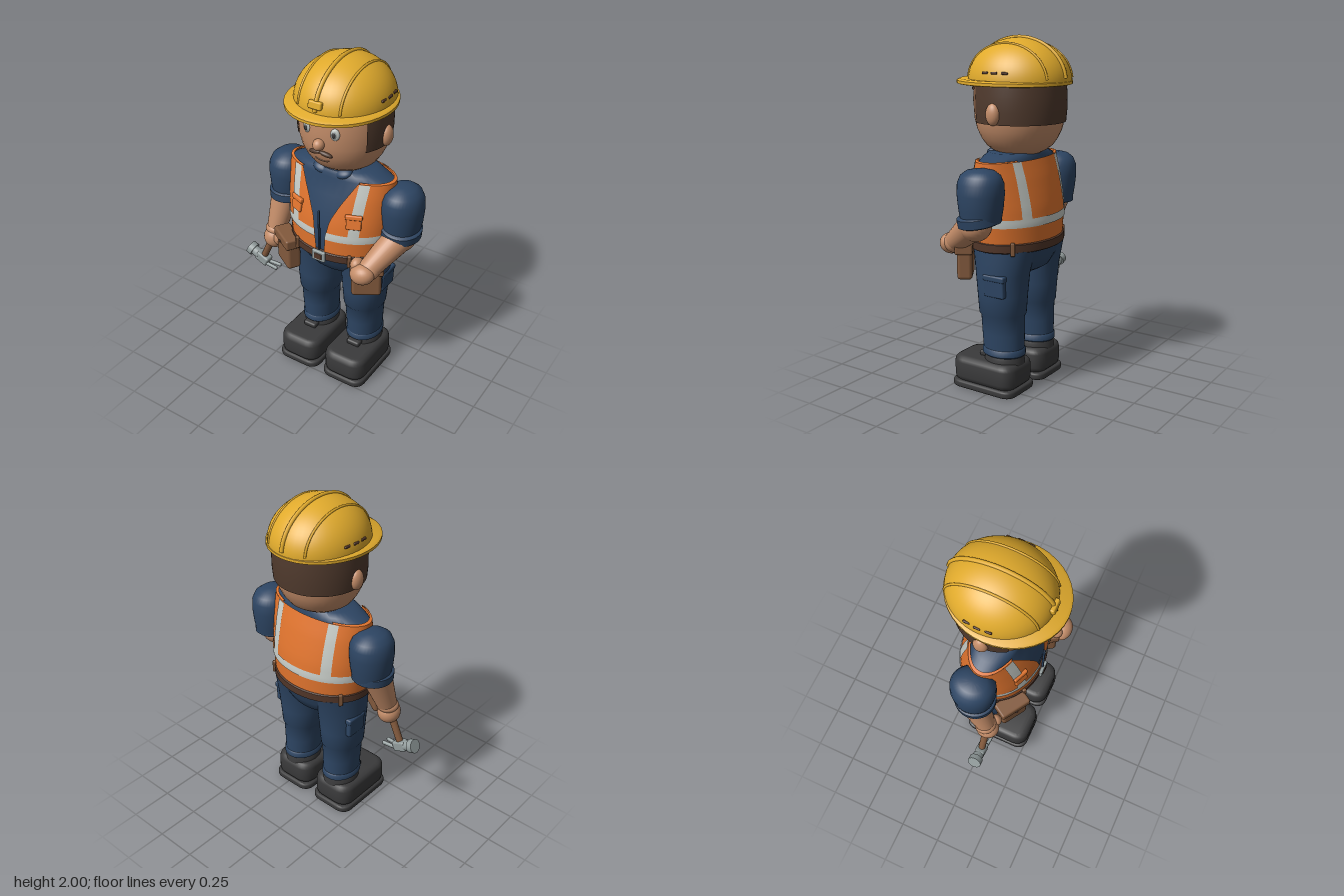
import * as THREE from 'three';
import { mergeVertices, toCreasedNormals } from 'three/addons/utils/BufferGeometryUtils.js';
import { RoundedBoxGeometry } from 'three/addons/geometries/RoundedBoxGeometry.js';

const colour = (name, color, side = THREE.FrontSide) =>
  Object.assign(new THREE.MeshStandardMaterial({ color, side }), { name });
const V = (x, y, z) => new THREE.Vector3(x, y, z);
const { sin, cos, asin, sqrt, PI } = Math;

export function createModel() {
  const skin = colour('skin', 0xc48d69), orange = colour('vest orange', 0xe0742e, THREE.DoubleSide);
  const yellow = colour('helmet yellow', 0xe0aa2c), navy = colour('navy cloth', 0x2d4563);
  const black = colour('boot black', 0x3a3a3b), silver = colour('reflective silver', 0xc6cbc6, THREE.DoubleSide);
  const hairMat = colour('hair brown', 0x503a2d, THREE.DoubleSide), beltMat = colour('belt brown', 0x503528);
  const leather = colour('leather', 0x835a3d), steel = colour('steel', 0x929c9c);

  const model = new THREE.Group();
  model.name = 'builder';
  const body = new THREE.Group();
  body.name = 'body';
  body.position.x = 0.071;
  model.add(body);

  const add = (name, geo, mat, p = [0, 0, 0], r = [0, 0, 0], parent = body) => {
    const m = new THREE.Mesh(geo, mat);
    m.name = name;
    m.position.set(...p);
    m.rotation.set(...r);
    parent.add(m);
    return m;
  };
  const ball = (name, mat, p, s, r, parent) => {
    const m = add(name, new THREE.SphereGeometry(1, 24, 16), mat, p, r, parent);
    m.scale.set(...s);
  };
  const box = (w, h, d, r = 0.01) => new RoundedBoxGeometry(w, h, d, 2, r);
  const tube = (pts, r, n = 20) => new THREE.TubeGeometry(new THREE.CatmullRomCurve3(pts), n, r, 8);

  // Grid surface from f(u, v); u runs to the right and v upward seen from outside
  function patch(f, nu, nv) {
    const pos = [], idx = [], w = nu + 1;
    for (let j = 0; j <= nv; j++) for (let i = 0; i <= nu; i++) pos.push(...f(i / nu, j / nv));
    for (let j = 0; j < nv; j++) for (let i = 0; i < nu; i++) {
      const a = j * w + i;
      idx.push(a, a + 1, a + w + 1, a, a + w + 1, a + w);
    }
    const g = new THREE.BufferGeometry();
    g.setAttribute('position', new THREE.Float32BufferAttribute(pos, 3));
    g.setIndex(idx);
    return toCreasedNormals(mergeVertices(g, 1e-5), 0.75);
  }
  // Capped solid through elliptical rings [y, halfWidth, halfDepth, x, z], bottom to top
  function loft(rings) {
    const first = [...rings[0]], last = [...rings.at(-1)];
    first[1] = first[2] = last[1] = last[2] = 0;
    const all = [first, ...rings, last];
    return patch((u, v) => {
      const [y, w, d, x = 0, z = 0] = all[Math.round(v * (all.length - 1))], a = (u % 1) * 2 * PI;
      return [x + w * sin(a), y, z + d * cos(a)];
    }, 40, all.length - 1);
  }
  // Tapered limb between two points
  function limb(name, mat, a, b, ra, rb) {
    const p = V(...a), q = V(...b), dir = q.clone().sub(p);
    const m = add(name, new THREE.CylinderGeometry(rb, ra, dir.length(), 28), mat, p.clone().add(q).multiplyScalar(0.5).toArray());
    m.quaternion.setFromUnitVectors(V(0, 1, 0), dir.normalize());
  }
  // Rounded slab lying on y = 0
  function slab(w, d, r, h, b) {
    const s = new THREE.Shape(), x = w / 2 - b, z = d / 2 - b;
    s.moveTo(-x + r, -z).lineTo(x - r, -z).quadraticCurveTo(x, -z, x, -z + r);
    s.lineTo(x, z - r).quadraticCurveTo(x, z, x - r, z).lineTo(-x + r, z);
    s.quadraticCurveTo(-x, z, -x, z - r).lineTo(-x, -z + r).quadraticCurveTo(-x, -z, -x + r, -z);
    const g = new THREE.ExtrudeGeometry(s, { depth: h - 2 * b, bevelThickness: b, bevelSize: b, bevelSegments: 3, curveSegments: 8 });
    return toCreasedNormals(g.translate(0, 0, b).rotateX(-PI / 2), 0.6);
  }

  // Torso outline: [y, halfWidth, halfDepth]
  const outline = [[0.89, 0.313, 0.236], [1.0, 0.327, 0.238], [1.08, 0.332, 0.227], [1.15, 0.334, 0.211], [1.24, 0.335, 0.187], [1.335, 0.332, 0.155]];
  const mix = (rows, y) => {
    let i = 0;
    while (i < rows.length - 2 && y > rows[i + 1][0]) i++;
    const t = (y - rows[i][0]) / (rows[i + 1][0] - rows[i][0]);
    return rows[i].map((n, k) => n + (rows[i + 1][k] - n) * t);
  };
  const onVest = (a, y, off = 0) => {
    const [, w, d] = mix(outline, y);
    return [(w + off) * sin(a), y, -0.016 + (d + off) * cos(a)];
  };
  const angleAt = (x, y) => asin(x / mix(outline, y)[1]);
  const opening = [[0.89, 0.025], [1.0, 0.034], [1.1, 0.052], [1.2, 0.1], [1.335, 0.178]];
  const openAngle = y => angleAt(mix(opening, y)[1], y);

  // Shirt and vest
  add('shirt', loft([...outline.map(([y, w, d]) => [y - 0.008, w - 0.014, d - 0.014, 0, -0.016]),
    [1.352, 0.255, 0.14, 0, -0.016], [1.37, 0.2, 0.13, 0, -0.016]]), navy);
  const around = (y0, y1, off) => (u, v) => {
    const y = y0 + (y1 - y0) * v, a = openAngle(y);
    return onVest(a + (2 * PI - 2 * a) * u, y, off);
  };
  add('vest', patch(around(0.89, 1.335, 0), 64, 16), orange);
  add('waistStripe', patch(around(0.985, 1.03, 0.005), 64, 3), silver);
  add('zipper', box(0.011, 0.26, 0.014, 0.004), navy, [0, 1.035, 0.228]);
  for (const s of [-1, 1]) {
    add('shoulderRim', patch((u, v) => {
      const a = s * PI / 2 + (u - 0.5) * 1.95, p = onVest(a, 1.335), k = 1 - 0.06 * v;
      return [p[0] * k, 1.335 + 0.004 * v, p[2] * k];
    }, 20, 2), orange);
    for (const back of [false, true]) add('verticalStripe', patch((u, v) => {
      const y = 1.03 + 0.304 * v, a = angleAt(s * (0.187 + (back ? 0.004 : 0.024) * v) + (u - 0.5) * 0.055, y);
      return onVest(back ? PI - a : a, y, 0.005);
    }, 4, 12), silver);
    const a = angleAt(s * 0.185, 1.12), pocket = new THREE.Group();
    pocket.name = 'vestPocket';
    pocket.position.set(...onVest(a, 1.12));
    pocket.lookAt(pocket.position.clone().add(V(sin(a) / 0.333, 0.9, cos(a) / 0.21)));
    body.add(pocket);
    add('pocketBag', box(0.085, 0.08, 0.022, 0.008), orange, [0, -0.003, 0], [0, 0, 0], pocket);
    add('pocketFlap', box(0.096, 0.028, 0.03, 0.008), orange, [0, 0.03, 0.003], [0, 0, 0], pocket);
    ball('collar', navy, [s * 0.065, 1.357, 0.087], [0.056, 0.026, 0.042], [0.4, 0, s * 0.18]);
  }

  // Trousers and belt
  add('hips', loft([[0.695, 0.16, 0.12, 0, -0.028], [0.715, 0.215, 0.155, 0, -0.028], [0.78, 0.28, 0.195, 0, -0.022], [0.88, 0.3, 0.232, 0, -0.016]]), navy);
  add('belt', loft([[0.842, 0.312, 0.238, 0, -0.016], [0.847, 0.319, 0.245, 0, -0.016], [0.89, 0.319, 0.245, 0, -0.016], [0.895, 0.312, 0.238, 0, -0.016]]), beltMat);
  add('buckle', box(0.085, 0.066, 0.02, 0.006), steel, [0, 0.868, 0.233]);
  add('buckleCentre', box(0.05, 0.036, 0.008, 0.003), beltMat, [0, 0.868, 0.243]);
  for (const a of [-0.58, 0.58, 2.2, -2.2])
    add('beltLoop', box(0.024, 0.075, 0.02, 0.006), leather, [0.32 * sin(a), 0.868, -0.016 + 0.247 * cos(a)], [0, a, 0]);

  for (const s of [-1, 1]) {
    const x = s * 0.157;
    add('trouserLeg', loft([[0.22, 0.1, 0.122, x, -0.032], [0.35, 0.108, 0.126, x, -0.028], [0.45, 0.114, 0.129, x, -0.026],
      [0.466, 0.123, 0.139, x, -0.024], [0.58, 0.132, 0.147, x, -0.024], [0.7, 0.14, 0.158, x, -0.025], [0.85, 0.14, 0.19, s * 0.15, -0.03]]), navy);
    add('trouserCuff', loft([[0.218, 0.1, 0.122, x, -0.032], [0.225, 0.108, 0.129, x, -0.032], [0.255, 0.108, 0.129, x, -0.032], [0.264, 0.1, 0.122, x, -0.032]]), navy);
    add('cargoPocket', box(0.035, 0.12, 0.13), navy, [s * 0.278, 0.645, -0.055], [0, 0, -s * 0.04]);
    add('cargoFlap', box(0.045, 0.035, 0.14), navy, [s * 0.279, 0.695, -0.055], [0, 0, -s * 0.04]);

    // Boots
    add('sole', slab(0.28, 0.425, 0.06, 0.042, 0.012), black, [s * 0.158, 0, 0.047]);
    add('boot', slab(0.27, 0.415, 0.05, 0.15, 0.035), black, [s * 0.158, 0.035, 0.049]);
    add('ankle', loft([[0.17, 0.104, 0.12, x, -0.035], [0.203, 0.103, 0.116, x, -0.035], [0.225, 0.095, 0.11, x, -0.035]]), black);
    add('bootTongue', box(0.085, 0.035, 0.06, 0.012), black, [x, 0.199, 0.085], [0.15, 0, 0]);

    // Tool pouches
    const pouch = new THREE.Group();
    pouch.name = 'toolPouch';
    pouch.position.set(s * 0.266, 0.77, 0.152);
    pouch.rotation.y = s * 0.56;
    body.add(pouch);
    add('pouchBag', box(0.17, 0.2, 0.085, 0.02), leather, [0, 0, 0], [0, 0, 0], pouch);
    add('pouchFlap', box(0.192, 0.065, 0.1, 0.012), leather, [0, 0.078, 0.004], [0, 0, 0], pouch);
    ball('pouchStud', beltMat, [0, 0.06, 0.055], [0.009, 0.009, 0.006], [0, 0, 0], pouch);

    // Sleeves
    add('sleeve', loft([[1.03, 0.104, 0.11], [1.1, 0.116, 0.122], [1.18, 0.122, 0.131], [1.24, 0.118, 0.129],
      [1.28, 0.1, 0.113], [1.305, 0.068, 0.08], [1.315, 0.03, 0.035]].map(([y, w, d]) => [y, w, d, s * 0.372, -0.035])), navy);
    add('sleeveCuff', loft([[-0.03, 0.105, 0.108], [-0.024, 0.117, 0.12], [0.022, 0.118, 0.12], [0.03, 0.108, 0.11]]),
      navy, [s * 0.375, 1.043, -0.025], s > 0 ? [0.12, 0, -0.12] : [0, 0, 0.04]);
  }

  // Arms and hands
  limb('leftForearm', skin, [0.383, 1.01, 0.0], [0.305, 0.875, 0.195], 0.086, 0.06);
  ball('leftElbow', skin, [0.383, 1.005, -0.008], [0.09, 0.085, 0.088]);
  ball('leftWrist', skin, [0.303, 0.872, 0.195], [0.066, 0.062, 0.062]);
  ball('leftHand', skin, [0.287, 0.856, 0.235], [0.074, 0.06, 0.06], [0, 0, 0.3]);
  ball('leftThumb', skin, [0.238, 0.89, 0.21], [0.036, 0.04, 0.042]);
  limb('rightForearm', skin, [-0.4, 1.04, -0.025], [-0.423, 0.8, 0.055], 0.087, 0.058);
  ball('rightWrist', skin, [-0.425, 0.8, 0.056], [0.066, 0.04, 0.064]);
  ball('rightHand', skin, [-0.427, 0.745, 0.07], [0.067, 0.07, 0.07]);
  ball('rightThumb', skin, [-0.375, 0.765, 0.1], [0.034, 0.045, 0.035]);

  // Hammer
  const hammer = new THREE.Group();
  hammer.name = 'hammer';
  hammer.position.set(-0.46, 0.69, 0.07);
  hammer.rotation.z = -0.42;
  body.add(hammer);
  const tool = (name, geo, mat, p, r) => add(name, geo, mat, p, r, hammer);
  tool('handle', new THREE.CylinderGeometry(0.023, 0.02, 0.27, 16), leather, [0, -0.02, 0]);
  tool('headBlock', box(0.09, 0.062, 0.06, 0.012), steel, [0, -0.16, 0]);
  tool('headNeck', new THREE.CylinderGeometry(0.031, 0.031, 0.06, 20), steel, [-0.06, -0.16, 0], [0, 0, PI / 2]);
  tool('strikingFace', new THREE.CylinderGeometry(0.041, 0.041, 0.034, 24), steel, [-0.091, -0.16, 0], [0, 0, PI / 2]);
  for (const s of [-1, 1]) tool('claw', box(0.095, 0.022, 0.02, 0.008), steel, [0.075, -0.155, s * 0.018], [0, -s * 0.08, 0.38]);

  // Head and hair
  const skull = [[1.355, 0.11], [1.375, 0.15], [1.4, 0.184], [1.44, 0.212], [1.49, 0.235], [1.55, 0.249], [1.63, 0.254], [1.7, 0.252], [1.76, 0.244]];
  const hz = -0.035;
  add('head', loft(skull.map(([y, r]) => [y, r * 1.01, r, 0, hz])), skin);
  const face = (x, y, off = 0) => V(x, y, hz + off + sqrt(mix(skull, y)[1] ** 2 - x * x));
  const hairRows = [[1.532, 0.243], [1.532, 0.256], [1.6, 0.262], [1.68, 0.262], [1.755, 0.256]];
  add('hair', patch((u, v) => {
    const [y, r] = hairRows[Math.round(v * 4)], a = 1.0 + (2 * PI - 2) * u;
    return [r * sin(a), y, hz + r * cos(a)];
  }, 48, 4), hairMat);
  ball('nose', skin, face(0, 1.572, 0.01).toArray(), [0.032, 0.033, 0.034]);
  add('mouth', tube([-0.045, -0.02, 0.02, 0.045].map(x => face(x, 1.457 + 5 * x * x, 0)), 0.004), leather);
  for (const s of [-1, 1]) {
    ball('ear', skin, [s * 0.258, 1.588, hz], [0.032, 0.06, 0.042]);
    ball('eye', silver, face(s * 0.088, 1.645).toArray(), [0.025, 0.034, 0.012], [0, s * 0.35, 0]);
    ball('iris', steel, face(s * 0.087, 1.645, 0.007).toArray(), [0.016, 0.023, 0.008], [0, s * 0.35, 0]);
    ball('pupil', black, face(s * 0.086, 1.645, 0.011).toArray(), [0.012, 0.017, 0.007], [0, s * 0.35, 0]);
    add('eyebrow', tube([face(s * 0.05, 1.713, 0.004), face(s * 0.09, 1.721, 0.004), face(s * 0.126, 1.707, 0.004)], 0.011), hairMat);
    ball('moustache', hairMat, face(s * 0.034, 1.517, 0.006).toArray(), [0.04, 0.013, 0.014], [0, s * 0.15, -s * 0.22]);
  }

  // Hard hat
  const hat = [0.27, 0.235, 0.293], hatY = 1.75;
  const dome = add('helmetDome', new THREE.SphereGeometry(1, 48, 20, 0, 2 * PI, 0, PI / 2), yellow, [0, hatY, hz]);
  dome.scale.set(...hat);
  add('helmetBrim', loft([[1.735, 0.288, 0.32], [1.738, 0.296, 0.33], [1.754, 0.296, 0.33], [1.763, 0.28, 0.315]]), yellow);
  for (const [x, r] of [[-0.128, 0.007], [0, 0.012], [0.128, 0.007]]) {
    const k = sqrt(1 - (x / hat[0]) ** 2), pts = [];
    for (let i = 0; i <= 16; i++) {
      const t = 0.1 + (PI - 0.2) * i / 16;
      pts.push(V(x, hatY + hat[1] * k * sin(t), hz + hat[2] * k * cos(t)));
    }
    add('helmetRidge', tube(pts, r, 40), yellow);
  }
  add('helmetBadge', box(0.08, 0.042, 0.03, 0.008), yellow, [0, 1.81, 0.25], [-0.2, 0, 0]);
  for (const s of [-1, 1]) for (const z of [0.012, -0.048, -0.108])
    add('helmetVent', box(0.014, 0.014, 0.038, 0.005), beltMat, [s * 0.261 * sqrt(1 - ((z - hz) / hat[2]) ** 2), 1.806, z]);

  return model;
}
